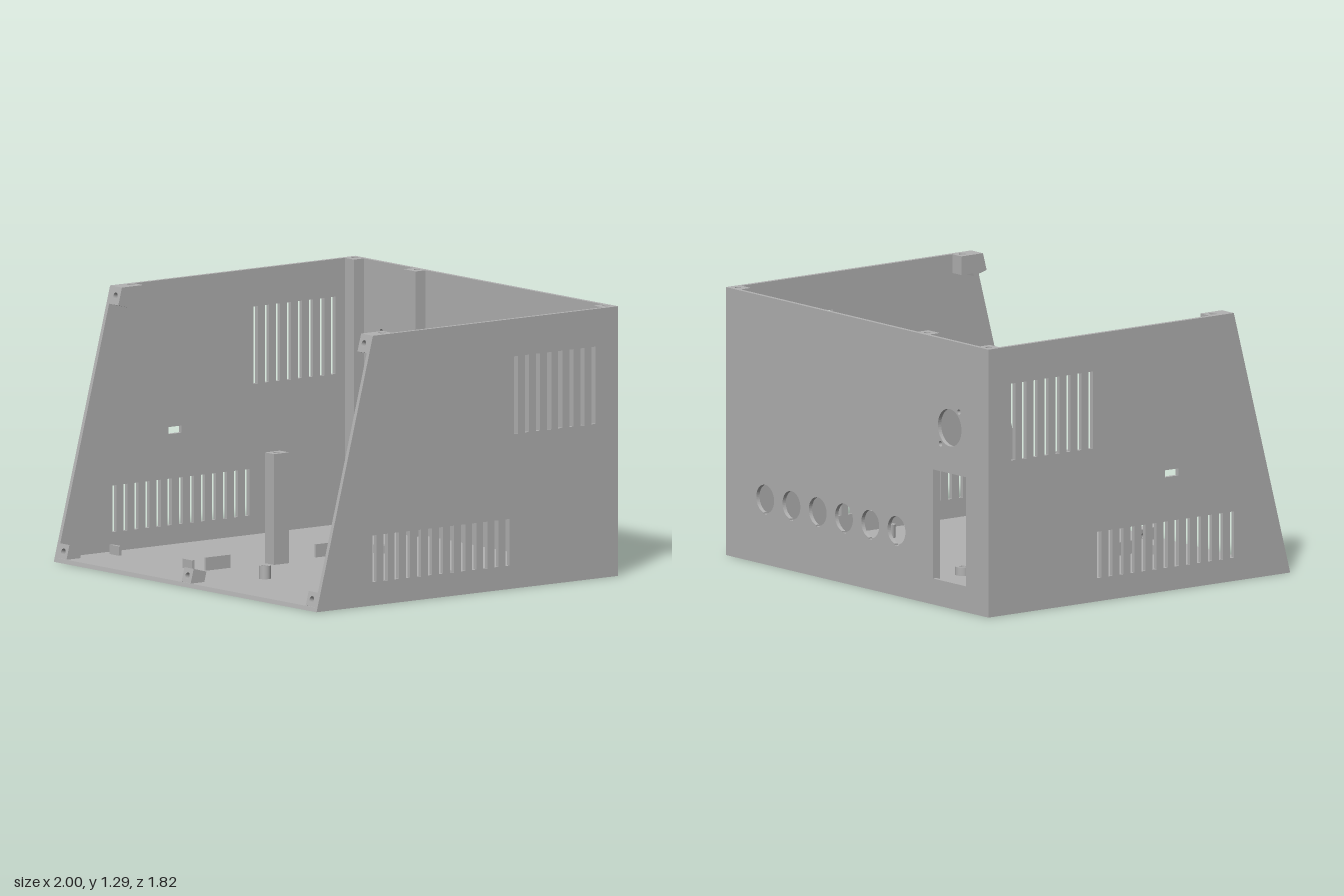
import * as THREE from 'three';

const grey = new THREE.MeshStandardMaterial({ color: 0xb2b2b2 });
grey.name = 'casing grey';

const W = 1, H = 1.29, D = 0.91, T = 0.02, TOP_Z = 0.57;
const TILT = -Math.atan2(D - TOP_Z, H);   // lean of the open front
const SLANT = Math.hypot(D - TOP_Z, H);

function rectPoints(x0, y0, x1, y1) {
  return [[x0, y0], [x1, y0], [x1, y1], [x0, y1]].map(([x, y]) => new THREE.Vector2(x, y));
}
const rectShape = (...r) => new THREE.Shape(rectPoints(...r));
const rectHole = (...r) => new THREE.Path(rectPoints(...r));
const roundHole = (x, y, r) => new THREE.Path().absarc(x, y, r, 0, Math.PI * 2, true);

// Round socket opening with a small key notch at the bottom
function keyedHole(x, y, r) {
  const a = 0.2, p = new THREE.Path();
  p.absarc(x, y, r, -Math.PI / 2 + a, Math.PI * 1.5 - a, false);
  p.lineTo(x - r * Math.sin(a), y - r - 0.006);
  p.lineTo(x + r * Math.sin(a), y - r - 0.006);
  p.closePath();
  return p;
}

const extrude = (shape, depth) =>
  new THREE.ExtrudeGeometry(shape, { depth, bevelEnabled: false, curveSegments: 24 });

export function createModel() {
  const model = new THREE.Group();
  model.name = 'enclosure';

  function add(name, geometry, x = 0, y = 0, z = 0) {
    const mesh = new THREE.Mesh(geometry, grey);
    mesh.name = name;
    mesh.position.set(x, y, z);
    model.add(mesh);
    return mesh;
  }
  // Profile in (z, y), running from xMax towards -x
  const addProfile = (name, shape, xMax, width) =>
    add(name, extrude(shape, width).rotateY(-Math.PI / 2), xMax);
  // Plan outline centred on x, z, rising from y0 to y1, with a screw hole
  function addPost(name, x, z, w, d, y0, y1, hx = 0, hz = 0) {
    const s = rectShape(-w / 2, -d / 2, w / 2, d / 2);
    s.holes.push(roundHole(hx, -hz, 0.016));
    add(name, extrude(s, y1 - y0).rotateX(-Math.PI / 2), x, y0, z);
  }

  // Floor with sloping front edge
  const zAt = y => D - (D - TOP_Z) * y / H;
  addProfile('floor', new THREE.Shape([
    new THREE.Vector2(-D, 0), new THREE.Vector2(D, 0),
    new THREE.Vector2(zAt(T), T), new THREE.Vector2(-D, T),
  ]), W - T, 2 * (W - T));

  // Side walls with two rows of vent slots
  for (const side of [1, -1]) {
    const s = new THREE.Shape([
      new THREE.Vector2(-D, 0), new THREE.Vector2(D, 0),
      new THREE.Vector2(TOP_Z, H), new THREE.Vector2(-D, H),
    ]);
    const slot = (z, y0, y1) => s.holes.push(rectHole(z - 0.0125, y0, z + 0.0125, y1));
    for (let i = 0; i < 8; i++) slot(-0.293 - i * 0.0668, 0.74, 1.11);
    for (let i = 0; i < 13; i++) slot(0.56 - i * 0.0668, 0.112, 0.335);
    if (side < 0) s.holes.push(rectHole(0.155, 0.548, 0.235, 0.582));
    addProfile(side > 0 ? 'leftWall' : 'rightWall', s, side > 0 ? W : -W + T, T);
  }

  // Back wall with connector openings
  const back = rectShape(-W + T, T, W - T, H);
  back.holes.push(
    roundHole(-0.705, 0.87, 0.09),
    roundHole(-0.776, 0.956, 0.013),
    roundHole(-0.635, 0.782, 0.013),
    rectHole(-0.83, 0.125, -0.578, 0.65),
  );
  for (let i = 0; i < 6; i++) back.holes.push(keyedHole(-0.3 + i * 0.2, 0.315, 0.068));
  add('backWall', extrude(back, T), 0, 0, -D);

  // Full-height screw posts along the back
  for (const s of [1, -1]) addPost('backCornerPost', s * 0.945, -0.86, 0.07, 0.06, T, H, s * 0.01, -0.012);
  addPost('backMiddlePost', -0.485, -0.86, 0.09, 0.06, T, H, 0, -0.012);

  // Leaning screw blocks behind the open front
  function addFrontBlock(name, x, w, y0, y1, holeY) {
    const s = rectShape(-w / 2, y0, w / 2, y1);
    s.holes.push(roundHole(0, holeY, 0.016));
    const g = extrude(s, 0.08).translate(0, 0, -0.08).rotateX(TILT);
    add(name, g, x, 0, D);
  }
  addFrontBlock('frontMiddleBlock', 0, 0.07, 0.022, 0.092, 0.055);
  for (const s of [1, -1]) {
    addFrontBlock('frontBottomBlock', s * 0.945, 0.07, 0.022, 0.092, 0.055);
    addFrontBlock('frontTopBlock', s * 0.945, 0.07, 1.248, SLANT, 1.29);
    addPost('lidScrewBlock', s * 0.945, 0.477, 0.07, 0.074, 1.2, H, s * 0.01, 0.003);
    // Wedge levelling the top of the leaning block
    addProfile('topWedge', new THREE.Shape([
      new THREE.Vector2(0.5, H), new THREE.Vector2(0.5, 1.265), new THREE.Vector2(TOP_Z, H),
    ]), s * 0.945 + 0.035, 0.07);
  }

  // Tall support column
  addPost('supportColumn', -0.21, 0.19, 0.07, 0.09, T, 0.55);

  // Round standoffs: x, z, radius, top
  const standoffs = [
    [-0.16, -0.4, 0.036, 0.06], [0.765, -0.4, 0.036, 0.06],
    [-0.01, -0.09, 0.028, 0.083], [0.787, -0.09, 0.028, 0.083],
    [0.127, 0.53, 0.028, 0.083], [0.645, 0.53, 0.028, 0.083],
  ];
  for (const [x, z, r, top] of standoffs) {
    const s = new THREE.Shape().absarc(0, 0, r, 0, Math.PI * 2, false);
    s.holes.push(roundHole(0, 0, 0.015));
    add('standoff', extrude(s, top - T).rotateX(-Math.PI / 2), x, T, z);
  }

  // Small locating tabs and ribs on the floor
  for (const x of [-0.89, -0.335])
    for (const z of [-0.352, 0.625])
      add('locatingTab', new THREE.BoxGeometry(0.072, 0.045, 0.016), x, 0.0425, z);
  for (const z of [-0.14, 0.525])
    add('locatingRib', new THREE.BoxGeometry(0.012, 0.063, 0.148), -0.24, 0.0515, z);

  return model;
}
